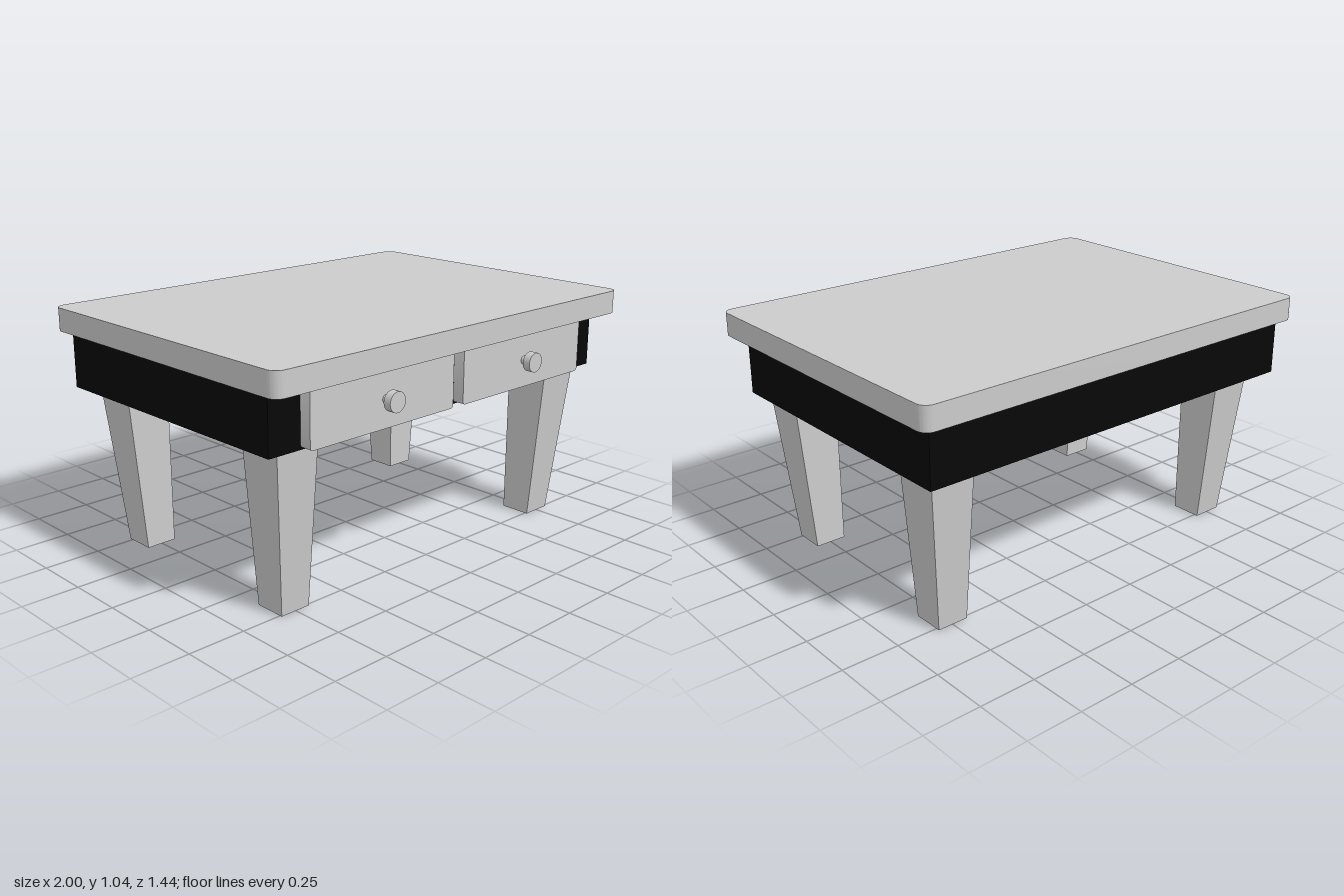
import * as THREE from 'three';
import { toCreasedNormals } from 'three/addons/utils/BufferGeometryUtils.js';

const grey = new THREE.MeshStandardMaterial({ color: 0xcccccc });
const black = new THREE.MeshStandardMaterial({ color: 0x080808 });

function add(parent, name, geometry, material, x, y, z) {
  const mesh = new THREE.Mesh(geometry, material);
  mesh.name = name;
  mesh.position.set(x, y, z);
  parent.add(mesh);
  return mesh;
}

// Slab with rounded corners in XY, extruded from z = 0 to depth
function roundedSlab(w, h, r, depth) {
  const x = w / 2 - r, y = h / 2 - r;
  const s = new THREE.Shape();
  s.absarc(x, y, r, 0, Math.PI / 2);
  s.absarc(-x, y, r, Math.PI / 2, Math.PI);
  s.absarc(-x, -y, r, Math.PI, Math.PI * 1.5);
  s.absarc(x, -y, r, Math.PI * 1.5, Math.PI * 2);
  s.closePath();
  const g = new THREE.ExtrudeGeometry(s, { depth, bevelEnabled: false, curveSegments: 6 });
  return toCreasedNormals(g, 0.6);
}

// Leg with upright inner faces and outer faces that taper towards the foot
function legGeometry(sx, sz) {
  const top = 0.2, foot = 0.138, height = 0.695;
  const g = new THREE.BoxGeometry(top, height, top);
  g.translate(sx * top / 2, height / 2, sz * top / 2);
  const p = g.attributes.position;
  for (let i = 0; i < p.count; i++) {
    if (p.getY(i) < 0.01) {
      p.setX(i, p.getX(i) * foot / top);
      p.setZ(i, p.getZ(i) * foot / top);
    }
  }
  const flat = g.toNonIndexed();
  flat.computeVertexNormals();
  return flat;
}

export function createModel() {
  const model = new THREE.Group();
  model.name = 'table';

  // Table top
  const top = roundedSlab(2, 1.425, 0.045, 0.101);
  top.rotateX(-Math.PI / 2);
  add(model, 'tableTop', top, grey, 0, 0.942, -0.003);

  // Dark case under the top
  add(model, 'case', new THREE.BoxGeometry(1.895, 0.249, 1.27), black, -0.002, 0.8175, -0.03);

  // Four legs
  for (const sx of [-1, 1]) {
    for (const sz of [-1, 1]) {
      const name = (sz > 0 ? 'front' : 'back') + (sx > 0 ? 'Left' : 'Right') + 'Leg';
      add(model, name, legGeometry(sx, sz), grey, sx * 0.681 - 0.002, 0, sz * 0.375 - 0.003);
    }
  }

  // Two drawers with round knobs
  for (const sx of [-1, 1]) {
    const drawer = new THREE.Group();
    drawer.name = sx > 0 ? 'leftDrawer' : 'rightDrawer';
    drawer.position.set(sx * 0.413 - 0.002, 0.8175, 0.605);
    add(drawer, 'drawerFront', roundedSlab(0.766, 0.236, 0.014, 0.052), grey, 0, 0, 0);
    const stem = new THREE.CylinderGeometry(0.018, 0.018, 0.035, 32).rotateX(Math.PI / 2);
    add(drawer, 'knobStem', stem, grey, 0, 0, 0.066);
    const knob = new THREE.CylinderGeometry(0.042, 0.042, 0.034, 32).rotateX(Math.PI / 2);
    add(drawer, 'knob', knob, grey, 0, 0, 0.098);
    model.add(drawer);
  }
  return model;
}
